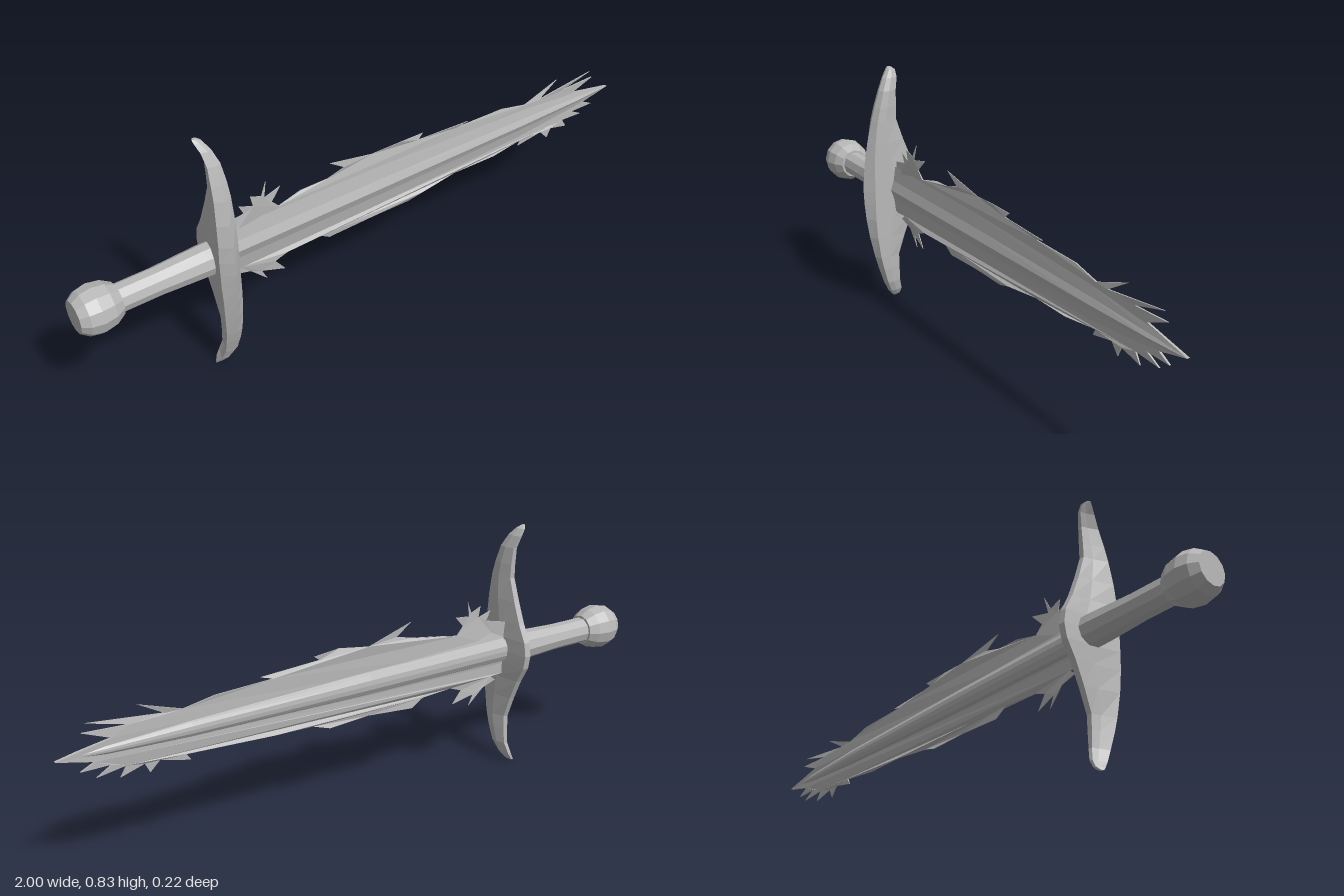
import * as THREE from 'three';

const AXIS = 0.425; // height of the sword's long axis
const steel = new THREE.MeshStandardMaterial({ color: 0xb8b8b8, flatShading: true });
steel.name = 'grey steel';

// Skin a list of equal-length closed rings, with fan caps at both ends
function loft(rings) {
  const pos = [];
  const tri = (...p) => p.forEach((v) => pos.push(...v));
  const n = rings[0].length;
  for (let i = 0; i < rings.length - 1; i++) {
    for (let j = 0; j < n; j++) {
      const k = (j + 1) % n;
      const a = rings[i][j], b = rings[i][k], c = rings[i + 1][k], d = rings[i + 1][j];
      tri(a, b, c);
      tri(a, c, d);
    }
  }
  const last = rings[rings.length - 1];
  for (let j = 1; j < n - 1; j++) {
    tri(rings[0][0], rings[0][j + 1], rings[0][j]);
    tri(last[0], last[j], last[j + 1]);
  }
  const g = new THREE.BufferGeometry();
  g.setAttribute('position', new THREE.Float32BufferAttribute(pos, 3));
  g.computeVertexNormals();
  return g;
}

// Lathe about the sword's axis: profile of [radius, x]
function turned(profile, sides) {
  const g = new THREE.LatheGeometry(profile.map(([r, x]) => new THREE.Vector2(r, x)), sides);
  return g.rotateZ(-Math.PI / 2).translate(0, AXIS, -0.01);
}

export function createModel() {
  const sword = new THREE.Group();
  sword.name = 'sword';
  const add = (name, geometry) => {
    const mesh = new THREE.Mesh(geometry, steel);
    mesh.name = name;
    sword.add(mesh);
  };

  // Faceted pommel and tapered grip
  add('pommel', turned([[0, -1], [0.05, -1], [0.068, -0.975], [0.075, -0.94],
    [0.068, -0.9], [0.05, -0.87], [0, -0.87]], 12));
  add('grip', turned([[0.043, -0.89], [0.043, -0.75], [0.05, -0.6], [0.05, -0.54]], 10));

  // Crescent guard: [height above axis, front z, back z, left x, right x]
  const half = [
    [0, 0.108, -0.108, -0.592, -0.527],
    [0.045, 0.106, -0.1, -0.592, -0.527],
    [0.1, 0.101, -0.07, -0.59, -0.527],
    [0.17, 0.09, -0.041, -0.587, -0.527],
    [0.245, 0.073, -0.015, -0.582, -0.528],
    [0.29, 0.06, -0.016, -0.58, -0.53],
    [0.345, 0.041, -0.019, -0.577, -0.536],
    [0.385, 0.02, -0.03, -0.583, -0.55],
    [0.408, 0, -0.03, -0.591, -0.565],
    [0.417, -0.01, -0.02, -0.593, -0.58],
  ];
  const stations = [...half.slice(1).reverse().map(([h, ...r]) => [-h, ...r]), ...half];
  add('guard', loft(stations.map(([h, f, b, l, r]) => {
    const y = AXIS + h, w = r - l, m = (f + b) / 2;
    return [
      [l + w * 0.55, y, f],
      [r, y, f - (f - b) * 0.14],
      [r, y, m],
      [l + w * 0.75, y, b],
      [l + w * 0.42, y, b],
      [l + w * 0.3, y, m - (f - b) * 0.15],
      [l, y, f - (f - b) * 0.14],
    ];
  })));

  // Blade spine: sharp ridge in front, rounded rib behind
  const section = [[0.08, -0.001], [0.032, 0.007], [0, 0.018], [-0.032, 0.007], [-0.08, -0.001],
    [-0.04, -0.01], [-0.034, -0.02], [-0.017, -0.029], [0, -0.031], [0.017, -0.029], [0.034, -0.02], [0.04, -0.01]];
  const spine = [[-0.54, 1, 1], [0, 0.92, 0.92], [0.6, 0.65, 0.75], [0.85, 0.36, 0.5], [0.94, 0.17, 0.25], [1, 0.01, 0.05]];
  add('bladeSpine', loft(spine.map(([x, sy, sz]) =>
    section.map(([y, z]) => [x, AXIS + y * sy, z * sz]))));

  // Ragged cutting edges, guard to tip
  const upper = [[-0.54, 0.52], [-0.46, 0.537], [-0.475, 0.57], [-0.43, 0.553], [-0.437, 0.59],
    [-0.4, 0.575], [-0.38, 0.617], [-0.39, 0.565], [-0.33, 0.575], [-0.365, 0.537], [-0.34, 0.51],
    [-0.26, 0.527], [-0.17, 0.537], [-0.11, 0.553], [-0.163, 0.59], [0, 0.548], [0.1, 0.559],
    [0.19, 0.553], [0.17, 0.537], [0.37, 0.527], [0.33, 0.516], [0.52, 0.51], [0.62, 0.49],
    [0.757, 0.537], [0.676, 0.49], [0.906, 0.516], [0.783, 0.484], [0.92, 0.49], [0.837, 0.457], [1, 0.425]];
  const lower = [[-0.54, 0.34], [-0.48, 0.34], [-0.5, 0.324], [-0.447, 0.307], [-0.393, 0.254],
    [-0.41, 0.291], [-0.334, 0.27], [-0.366, 0.313], [-0.323, 0.329], [-0.206, 0.329], [-0.163, 0.302],
    [0, 0.313], [0.14, 0.307], [0.195, 0.324], [0.33, 0.334], [0.49, 0.34], [0.62, 0.35],
    [0.607, 0.329], [0.7, 0.35], [0.73, 0.318], [0.745, 0.35], [0.82, 0.329], [0.8, 0.361],
    [0.89, 0.35], [0.842, 0.377], [0.933, 0.377], [0.89, 0.398]];
  for (const [name, points] of [['upperEdge', upper], ['lowerEdge', [...lower, [1, 0.425]]]]) {
    const outline = [...points, [-0.54, AXIS]].map(([x, y]) => new THREE.Vector2(x, y));
    const g = new THREE.ExtrudeGeometry(new THREE.Shape(outline), { depth: 0.008, bevelEnabled: false });
    // Thin the plate outward and bend the splinters slightly out of plane
    const p = g.attributes.position;
    for (let i = 0; i < p.count; i++) {
      const out = Math.min(1, Math.abs(p.getY(i) - AXIS) / 0.12);
      const bend = 0.007 * out * Math.sin(p.getX(i) * 23 + p.getY(i) * 9);
      p.setZ(i, -0.005 + (p.getZ(i) - 0.004) * (1 - 0.75 * out) + bend);
    }
    g.computeVertexNormals();
    add(name, g);
  }
  return sword;
}
